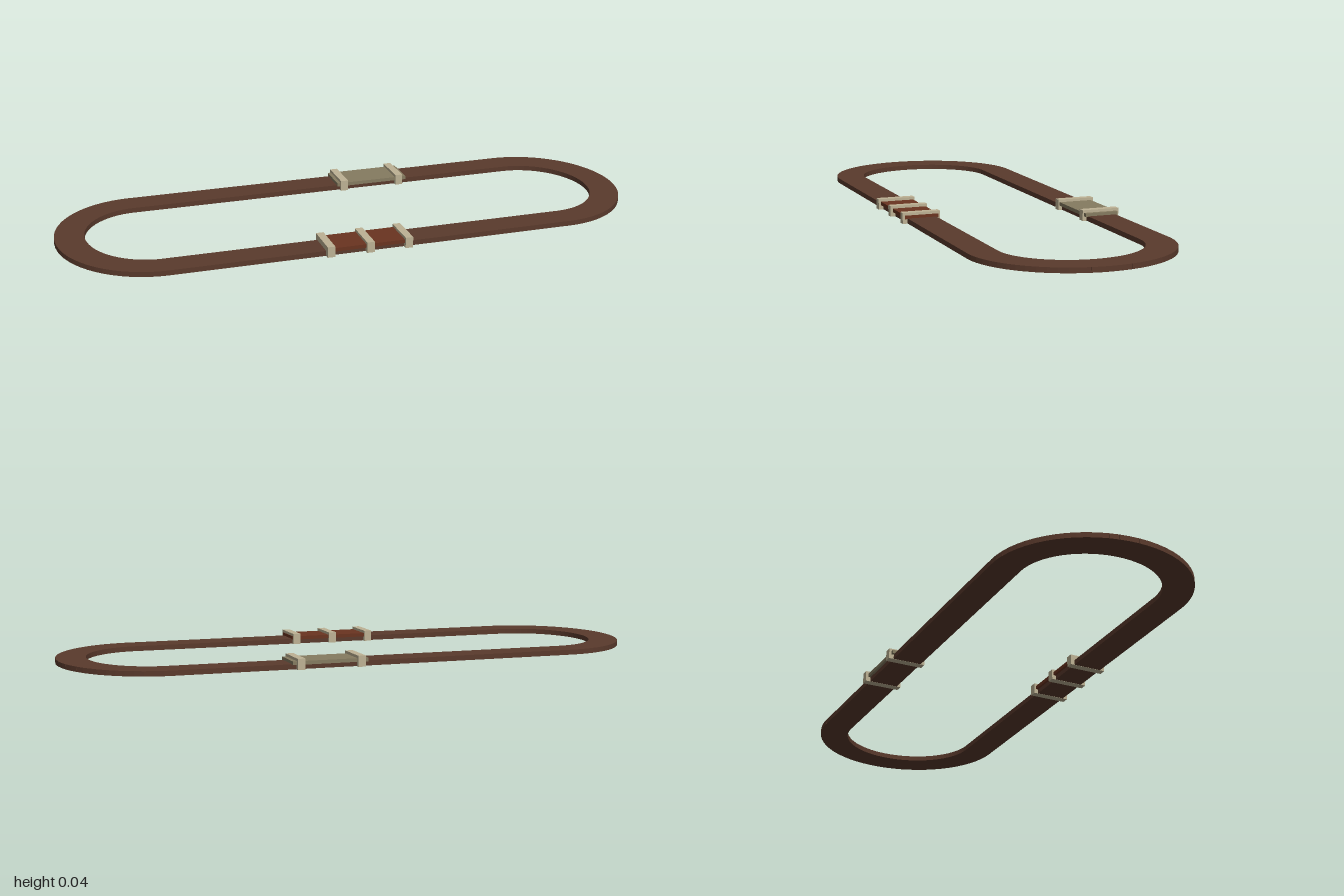
import * as THREE from 'three';

const leather = new THREE.MeshStandardMaterial({ color: 0x5a3a2c });
leather.name = 'brown leather';
const redLeather = new THREE.MeshStandardMaterial({ color: 0x6a3420 });
redLeather.name = 'red leather';
const brass = new THREE.MeshStandardMaterial({ color: 0xbdb294 });
brass.name = 'pale metal';
const dullMetal = new THREE.MeshStandardMaterial({ color: 0x857b60 });
dullMetal.name = 'dull metal';

const HEIGHT = 0.017, WIDTH = 0.1;
const END_X = 0.69;            // where the straights meet the bends
const RX = 0.26, RZ = 0.287;   // centre line radii of the bends
const STEPS = 32;              // links per bend

// Box given by its centre in x and z, its size, and its bottom and top
function box(name, material, x, z, w, d, y0, y1) {
  const mesh = new THREE.Mesh(new THREE.BoxGeometry(w, y1 - y0, d), material);
  mesh.name = name;
  mesh.position.set(x, (y0 + y1) / 2, z);
  return mesh;
}

export function createModel() {
  const model = new THREE.Group();
  model.name = 'belt';

  // Straight straps, front and back
  for (const side of [1, -1]) {
    model.add(box(side > 0 ? 'frontStrap' : 'backStrap', leather,
      0, side * RZ, 2 * END_X, WIDTH, 0, HEIGHT));
  }

  // Bends made of short overlapping links that follow a half ellipse
  for (const side of [1, -1]) {
    const bend = new THREE.Group();
    bend.name = side > 0 ? 'leftBend' : 'rightBend';
    for (let i = 0; i < STEPS; i++) {
      const a = ((i + 0.5) / STEPS - 0.5) * Math.PI;
      const x = side * (END_X + RX * Math.cos(a)), z = RZ * Math.sin(a);
      const link = box('link', leather, x, z, 0.032, WIDTH, 0, HEIGHT);
      // Turn the link's length along the tangent
      link.rotation.y = Math.atan2(-RZ * Math.cos(a), -side * RX * Math.sin(a));
      bend.add(link);
    }
    model.add(bend);
  }

  // Front: red panel held by three loops
  model.add(box('frontPanel', redLeather, -0.025, 0.2875, 0.295, 0.117, HEIGHT - 0.002, 0.027));
  for (const x of [-0.16, -0.025, 0.108]) {
    model.add(box('frontLoop', brass, x, 0.2885, 0.026, 0.131, -0.0005, 0.036));
  }

  // Back: metal plate held by two loops
  model.add(box('backPlate', dullMetal, 0.174, -0.2865, 0.258, 0.117, HEIGHT - 0.002, 0.027));
  for (const x of [0.07, 0.276]) {
    model.add(box('backLoop', brass, x, -0.2885, 0.026, 0.131, -0.0005, 0.036));
  }

  return model;
}
